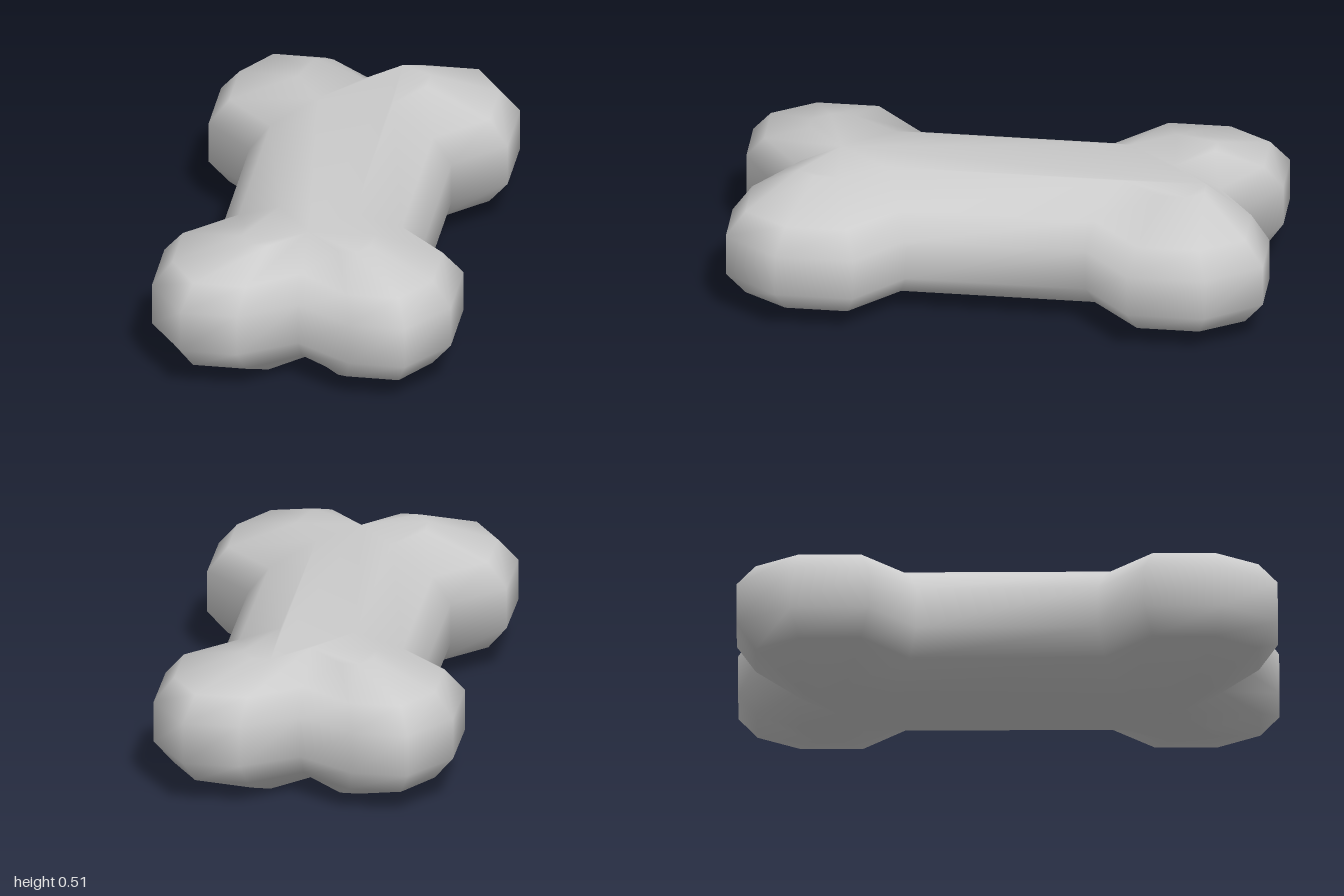
import * as THREE from 'three';

// One quarter of the bone outline (x, z), from end notch round the knuckle to the waist
const WIDE = [[0, 0.87], [0.21, 1], [0.42, 1], [0.56, 0.8], [0.56, 0.51], [0.378, 0.335]];
const SHOULDER = [[0, 0.79], [0.19, 0.93], [0.385, 0.93], [0.487, 0.77], [0.487, 0.54], [0.305, 0.36]];
const CAP = [[0, 0.62], [0.13, 0.755], [0.2, 0.755], [0.243, 0.69], [0.243, 0.6], [0.14, 0.44]];

// Mirror a quarter outline into a full loop, counter-clockwise from above
function fullOutline(quarter) {
  const right = [...quarter, ...quarter.map(([x, z]) => [x, -z]).reverse()];
  const left = right.slice(1, -1).reverse().map(([x, z]) => [-x, z]);
  return [...right, ...left];
}

// Skin a stack of outlines and close both ends, with shared vertices for smooth shading
function loft(layers) {
  const positions = [];
  const index = [];
  const loops = layers.map(([y, quarter]) => {
    const loop = fullOutline(quarter);
    loop.forEach(([x, z]) => positions.push(x, y, z));
    return loop;
  });
  const n = loops[0].length;
  for (let k = 0; k < loops.length - 1; k++) {
    for (let i = 0; i < n; i++) {
      const a = k * n + i;
      const b = k * n + ((i + 1) % n);
      index.push(a, b, b + n, a, b + n, a + n);
    }
  }
  const contour = loops[0].map(([x, z]) => new THREE.Vector2(x, -z));
  const top = (loops.length - 1) * n;
  for (const [a, b, c] of THREE.ShapeUtils.triangulateShape(contour, [])) {
    index.push(a, c, b, top + a, top + b, top + c);
  }
  const geometry = new THREE.BufferGeometry();
  geometry.setAttribute('position', new THREE.Float32BufferAttribute(positions, 3));
  geometry.setIndex(index);
  geometry.computeVertexNormals();
  return geometry;
}

export function createModel() {
  const group = new THREE.Group();
  group.name = 'bone';

  // Shaft and four knuckles as one rounded body
  const geometry = loft([
    [0, CAP], [0.088, SHOULDER], [0.18, WIDE],
    [0.338, WIDE], [0.428, SHOULDER], [0.515, CAP],
  ]);
  const body = new THREE.Mesh(geometry, new THREE.MeshStandardMaterial({ color: 0xcccccc }));
  body.name = 'boneBody';
  group.add(body);
  return group;
}
